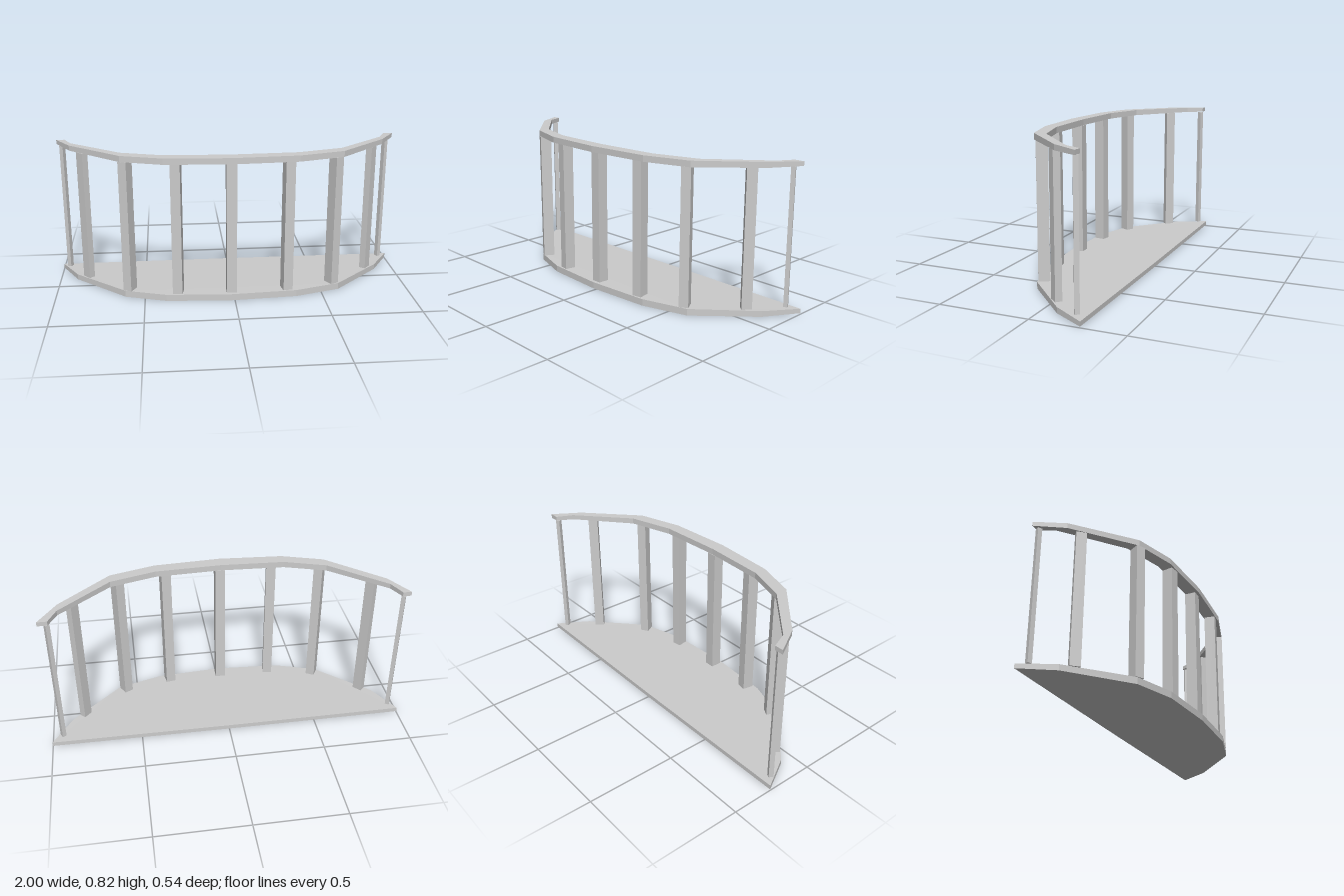
import * as THREE from 'three';

const material = new THREE.MeshStandardMaterial({ color: 0xcccccc, flatShading: true });

// Plan outlines as [x, z], running left to right around the curved front
const curve = [[-0.9, -0.09], [-0.61, 0.17], [-0.38, 0.245], [-0.02, 0.268], [0.35, 0.245], [0.605, 0.17], [0.885, -0.09]];
const floorPlan = [[-1, -0.268], ...curve, [1, -0.268], [0, -0.272]];
const railInner = [[-0.94, -0.242], [-0.9, -0.15], [-0.61, 0.1], [-0.38, 0.175], [-0.02, 0.192], [0.35, 0.175], [0.605, 0.1], [0.885, -0.15], [0.93, -0.242]];
const railPlan = [[-0.988, -0.242], ...curve, [0.985, -0.242], ...railInner.reverse()];

// Extruded slab, thinning slightly towards the back
function slab(name, plan, bottom, height) {
  const shape = new THREE.Shape(plan.map(([x, z]) => new THREE.Vector2(x, -z)));
  const geometry = new THREE.ExtrudeGeometry(shape, { depth: height, bevelEnabled: false });
  geometry.rotateX(-Math.PI / 2);
  const p = geometry.attributes.position;
  for (let i = 0; i < p.count; i++) {
    const t = (0.27 - p.getZ(i)) / 0.54;
    const y = (p.getY(i) - height / 2) * (1 - 0.33 * t * t);
    p.setY(i, bottom + height / 2 + y);
  }
  geometry.computeVertexNormals();
  const mesh = new THREE.Mesh(geometry, material);
  mesh.name = name;
  return mesh;
}

// Upright post turned to face outwards
function post(x, z, width, depth, angle) {
  const mesh = new THREE.Mesh(new THREE.BoxGeometry(width, 0.746, depth), material);
  mesh.position.set(x, 0.412, z);
  mesh.rotation.y = angle;
  mesh.name = 'post';
  return mesh;
}

export function createModel() {
  const model = new THREE.Group();
  model.name = 'balcony';
  model.add(slab('floor', floorPlan, 0, 0.037));
  model.add(slab('handrail', railPlan, 0.785, 0.034));

  const posts = new THREE.Group();
  posts.name = 'posts';
  posts.add(post(-0.016, 0.219, 0.057, 0.062, 0));
  // Mirrored pairs: x, z, width, depth, angle
  const pairs = [
    [0.305, 0.211, 0.054, 0.062, 0.17],
    [0.575, 0.148, 0.051, 0.062, 0.51],
    [0.82, -0.0525, 0.055, 0.037, 0.84],
    [0.946, -0.223, 0.023, 0.026, 0.5],
  ];
  for (const [x, z, w, d, a] of pairs)
    for (const s of [-1, 1]) posts.add(post(s * x - 0.008, z, w, d, s * a));
  model.add(posts);
  return model;
}
